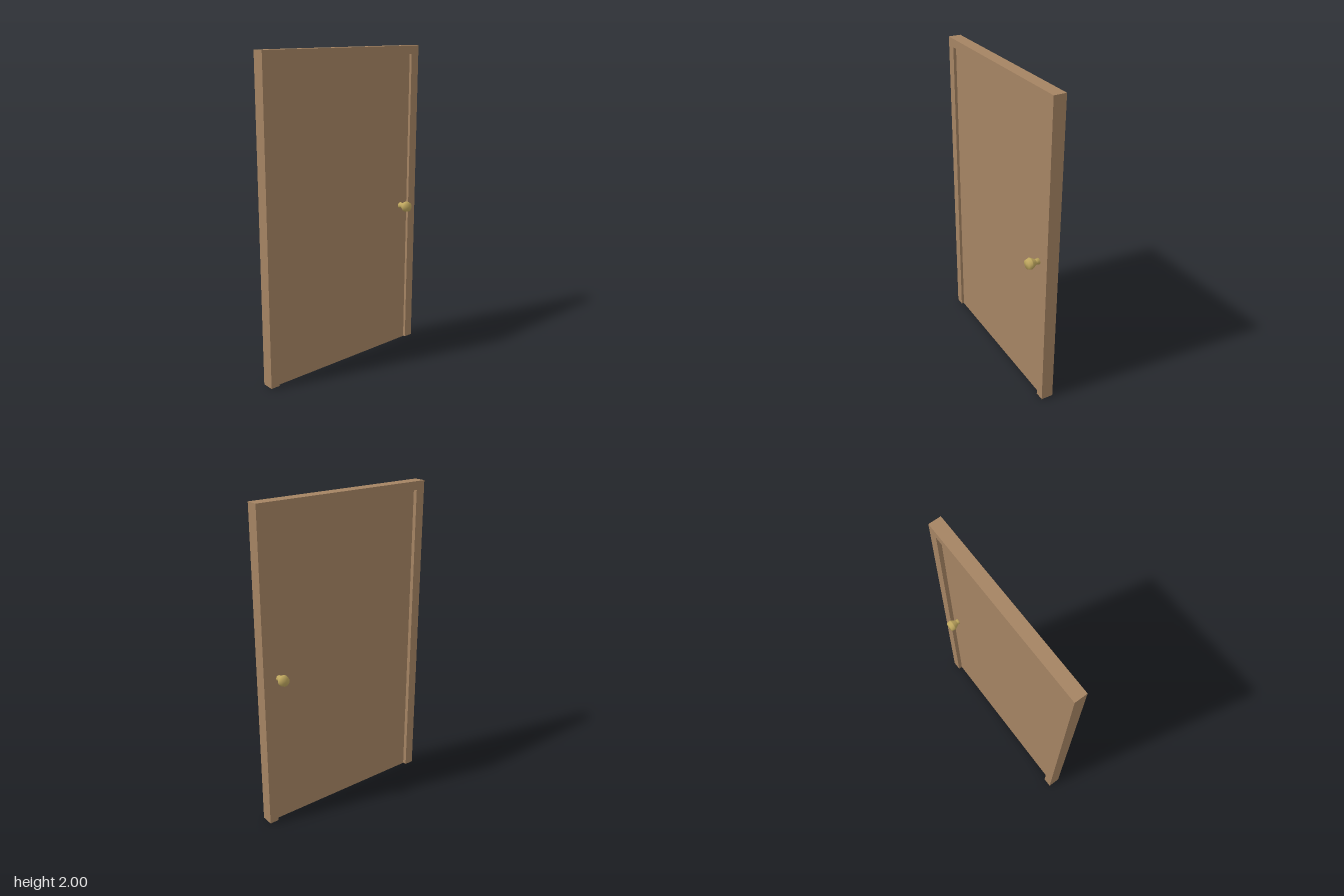
import * as THREE from 'three';

export function createModel() {
  const wood = new THREE.MeshStandardMaterial({ name: 'wood', color: 0xa58463 });
  const brass = new THREE.MeshStandardMaterial({ name: 'brass', color: 0xbfa75f });
  const model = new THREE.Group();
  model.name = 'door';

  const add = (name, geometry, material) => {
    const mesh = new THREE.Mesh(geometry, material);
    mesh.name = name;
    model.add(mesh);
    return mesh;
  };

  // Frame: two jambs and a lintel, open at the floor
  const outer = 0.6, inner = 0.54, base = 0.003;
  const outline = new THREE.Shape([
    [-outer, base], [-inner, base], [-inner, 1.947], [inner, 1.947],
    [inner, base], [outer, base], [outer, 2], [-outer, 2],
  ].map(([x, y]) => new THREE.Vector2(x, y)));
  const frame = new THREE.ExtrudeGeometry(outline, { depth: 0.078, bevelEnabled: false });
  frame.rotateY(Math.PI / 2).translate(-0.047, 0, 0);
  add('doorFrame', frame, wood);

  // Leaf recessed on both sides of the frame
  const leaf = new THREE.BoxGeometry(0.034, 1.947, inner * 2);
  add('doorLeaf', leaf, wood).position.set(-0.004, 1.947 / 2, 0);

  // Knobs: small rose, narrow neck, flared grip, mirrored through the leaf
  const profile = [
    [0, 0.008], [0.021, 0.008], [0.016, 0.033], [0.018, 0.037],
    [0.034, 0.064], [0.035, 0.07], [0.029, 0.092], [0, 0.094],
  ].map(([r, h]) => new THREE.Vector2(r, h));
  for (const side of [1, -1]) {
    const knob = new THREE.LatheGeometry(profile, 20);
    knob.rotateZ(-side * Math.PI / 2);
    add(side > 0 ? 'leftKnob' : 'rightKnob', knob, brass).position.set(0, 0.965, -0.483);
  }
  return model;
}
